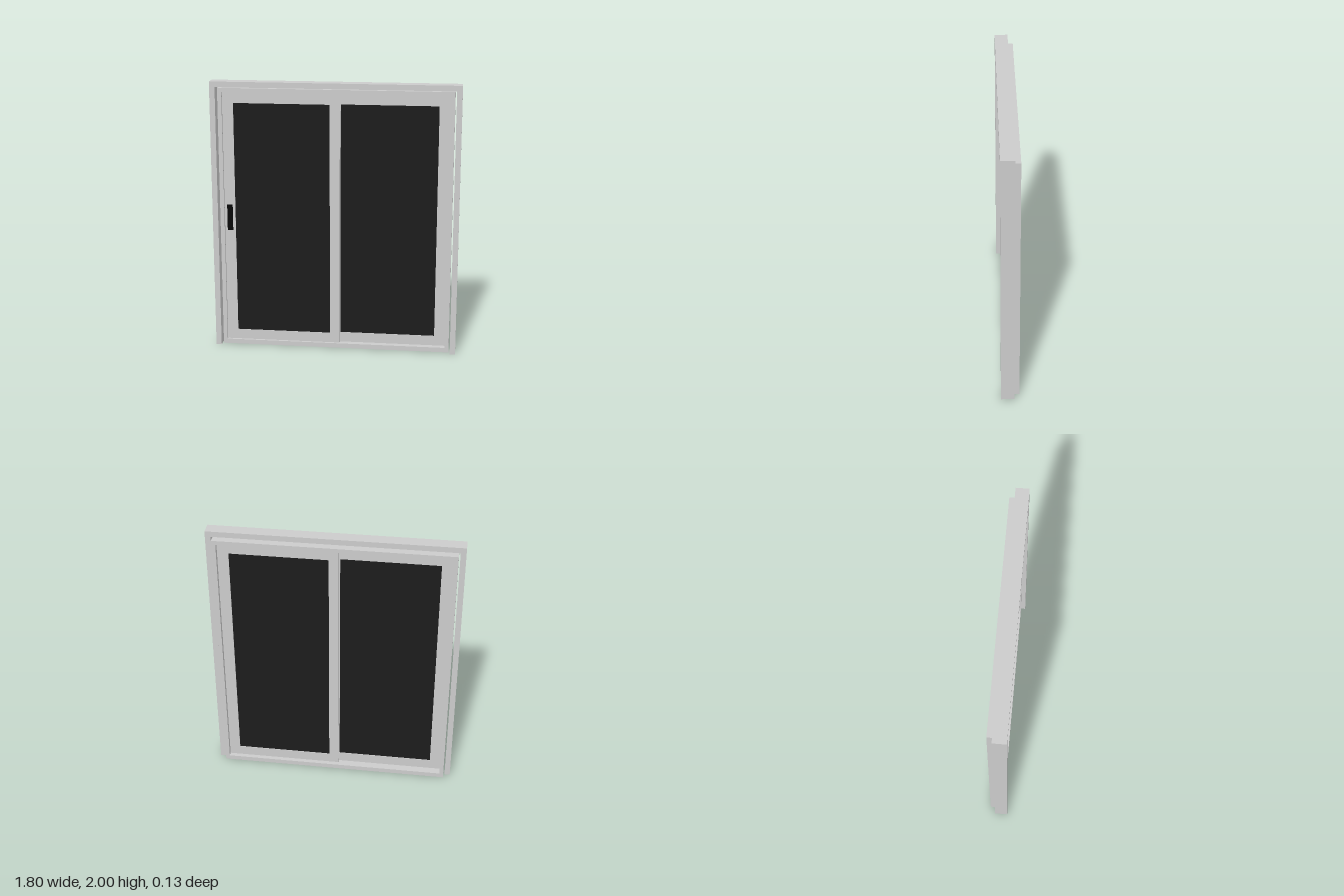
import * as THREE from 'three';

const grey = new THREE.MeshStandardMaterial({ color: 0xcccccc });
const dark = new THREE.MeshStandardMaterial({ color: 0x1c1c1c });
const black = new THREE.MeshStandardMaterial({ color: 0x080808 });

// Box given by its limits on each axis
function box(name, [x0, x1], [y0, y1], [z0, z1], material = grey) {
  const mesh = new THREE.Mesh(new THREE.BoxGeometry(x1 - x0, y1 - y0, z1 - z0), material);
  mesh.position.set((x0 + x1) / 2, (y0 + y1) / 2, (z0 + z1) / 2);
  mesh.name = name;
  return mesh;
}

// Extrudes an outline with an optional hole between two depths
function extrude(name, outline, hole, [z0, z1]) {
  const toPoints = (list) => list.map(([x, y]) => new THREE.Vector2(x, y));
  const shape = new THREE.Shape(toPoints(outline));
  if (hole) shape.holes.push(new THREE.Path(toPoints(hole)));
  const geometry = new THREE.ExtrudeGeometry(shape, { depth: z1 - z0, bevelEnabled: false });
  const mesh = new THREE.Mesh(geometry, grey);
  mesh.position.z = z0;
  mesh.name = name;
  return mesh;
}

const rect = (x0, x1, y0, y1) => [[x0, y0], [x1, y0], [x1, y1], [x0, y1]];

// Sash with its glass set slightly inside both faces
function sash(name, [x0, x1], [g0, g1], [z0, z1]) {
  const group = new THREE.Group();
  group.name = name;
  group.add(
    extrude('sashFrame', rect(x0, x1, 0.035, 1.92), rect(g0, g1, 0.11, 1.84), [z0, z1]),
    box('glass', [g0, g1], [0.11, 1.84], [z0 + 0.005, z1 - 0.003], dark)
  );
  return group;
}

export function createModel() {
  const door = new THREE.Group();
  door.name = 'slidingDoor';

  // Casing open at the bottom
  door.add(extrude('casing', [
    [-0.9, 0], [-0.86, 0], [-0.86, 1.96], [0.86, 1.96],
    [0.86, 0], [0.9, 0], [0.9, 2], [-0.9, 2]
  ], null, [-0.029, 0.067]));

  // Closed inner frame with jambs, head and sill
  door.add(extrude('doorFrame', rect(-0.85, 0.85, 0, 1.95),
    rect(-0.82, 0.82, 0.035, 1.92), [-0.067, 0.033]));

  // Front sliding sash and rear fixed sash, overlapping at the middle
  door.add(sash('slidingSash', [-0.82, 0.033], [-0.74, -0.04], [-0.01, 0.015]));
  door.add(sash('fixedSash', [-0.033, 0.82], [0.037, 0.74], [-0.035, -0.01]));

  // Pull handle on the sliding sash
  door.add(box('handle', [-0.8, -0.76], [0.89, 1.085], [0.015, 0.022], black));

  return door;
}
